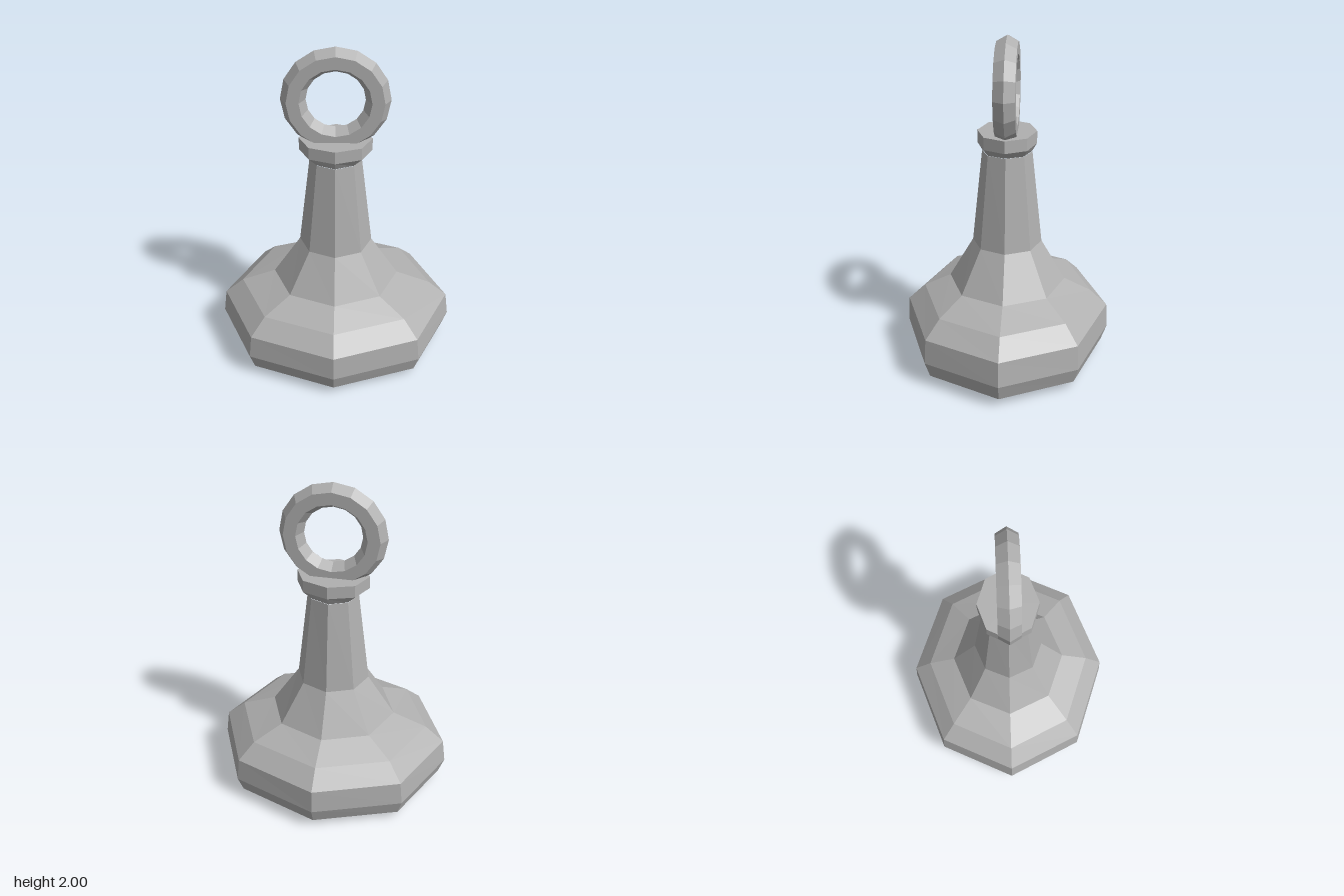
import * as THREE from 'three';

const grey = new THREE.MeshStandardMaterial({ color: 0xb0b0b0, flatShading: true });
grey.name = 'grey metal';

// Eight-sided turned shape; each ring is [height, x radius, z radius]
function octagonal(rings) {
  const geo = new THREE.LatheGeometry(rings.map(([y, rx]) => new THREE.Vector2(rx, y)), 8);
  const pos = geo.attributes.position;
  for (let i = 0; i < pos.count; i++) {
    const [, rx, rz] = rings[i % rings.length];
    if (rx > 0) pos.setZ(i, pos.getZ(i) * rz / rx);
  }
  return geo;
}

export function createModel() {
  const group = new THREE.Group();
  const add = (name, geo) => {
    const flat = geo.index ? geo.toNonIndexed() : geo;
    flat.computeVertexNormals();
    const mesh = new THREE.Mesh(flat, grey);
    mesh.name = name;
    group.add(mesh);
    return mesh;
  };

  // Wide base
  add('base', octagonal([
    [0.05, 0, 0], [0.05, 0.7, 0.605], [0.15, 0.735, 0.64], [0.3, 0.715, 0.63],
    [0.4, 0.6, 0.525], [0.48, 0.39, 0.36],
  ]));

  // Flared handle
  add('handle', octagonal([
    [0.48, 0.39, 0.36], [0.735, 0.222, 0.212], [1.315, 0.153, 0.15],
  ]));

  // Collar under the ring
  add('collar', octagonal([
    [1.315, 0.15, 0.147], [1.365, 0.215, 0.177], [1.44, 0.215, 0.177], [1.44, 0, 0],
  ]));

  // Hanging ring with hexagonal section
  add('ring', new THREE.TorusGeometry(0.2425, 0.0725, 6, 16)).position.y = 1.685;

  // Raised mark on the underside: a straight bar and two edge-down branches
  add('markStem', new THREE.BoxGeometry(0.1, 0.06, 0.63)).position.set(0, 0.045, 0.015);

  const branch = (name, x0, z0, x1, z1) => {
    const length = Math.hypot(x1 - x0, z1 - z0);
    const geo = new THREE.BoxGeometry(0.071, 0.071, length);
    geo.rotateZ(Math.PI / 4);
    geo.rotateY(Math.atan2(x1 - x0, z1 - z0));
    add(name, geo).position.set((x0 + x1) / 2, 0.0502, (z0 + z1) / 2);
  };
  branch('markBranchLeft', 0.02, 0.13, 0.28, -0.08);
  branch('markBranchRight', -0.02, 0.065, -0.275, -0.15);

  return group;
}
